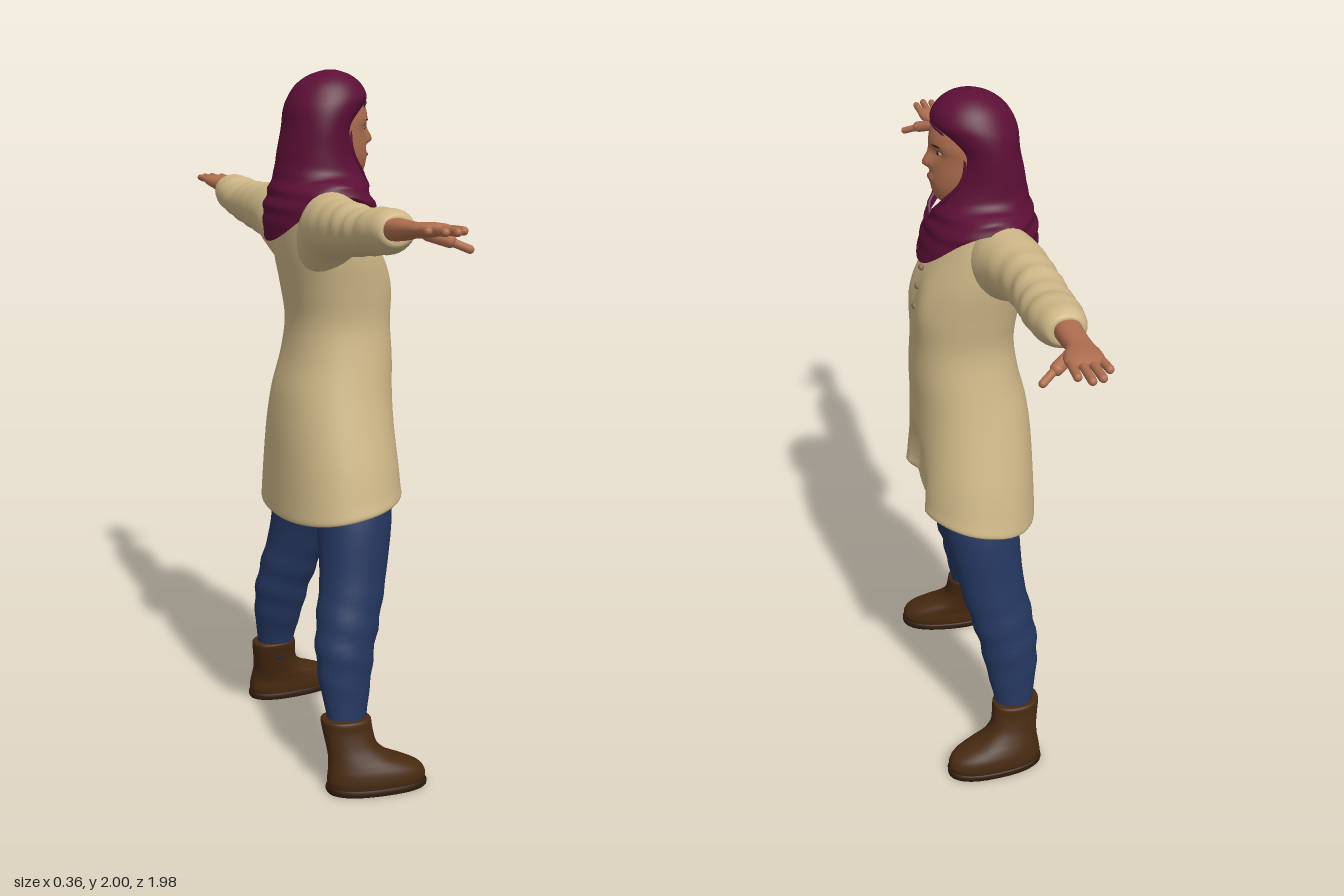
import * as THREE from 'three';
import { mergeVertices } from 'three/addons/utils/BufferGeometryUtils.js';

const mat = (name, color, side = THREE.FrontSide) => {
  const m = new THREE.MeshStandardMaterial({ color, side });
  m.name = name;
  return m;
};

// Smooth interpolation of one value through a list of rows
function mix(rows, i, f, k) {
  const g = (j) => rows[Math.min(rows.length - 1, Math.max(0, j))][k] || 0;
  const [a, b, c, d] = [g(i - 1), g(i), g(i + 1), g(i + 2)];
  return b + 0.5 * f * (c - a + f * (2 * a - 5 * b + 4 * c - d + f * (3 * (b - c) + d - a)));
}

// Surface through oval rings. Row: [height, min1, max1, min2, max2, drop at front and back]
function loft(rows, { n = 32, sub = 5, power = 2, axis = 'y', caps = true, gap = null, warp = null } = {}) {
  const pos = [], edge = [], index = [], v = new THREE.Vector3();
  const count = (rows.length - 1) * sub + 1;
  for (let r = 0; r < count; r++) {
    const i = Math.min(rows.length - 2, Math.floor(r / sub)), f = r / sub - i;
    const [h, a0, a1, b0, b1, drop] = [0, 1, 2, 3, 4, 5].map((k) => mix(rows, i, f, k));
    const open = gap ? gap(h, (b1 - b0) / 2) : 0;
    for (let j = 0; j <= n; j++) {
      const t = gap ? open + (j / n) * (2 * Math.PI - 2 * open) : ((j % n) / n) * 2 * Math.PI;
      const c = Math.cos(t), s = Math.sin(t);
      const p = (a0 + a1) / 2 + (a1 - a0) / 2 * Math.sign(c) * Math.abs(c) ** (2 / power);
      const q = (b0 + b1) / 2 + (b1 - b0) / 2 * Math.sign(s) * Math.abs(s) ** (2 / power);
      if (axis === 'y') v.set(p, h - drop * c * c, q);
      else v.set(p, q, h);
      if (warp) warp(v, t);
      pos.push(v.x, v.y, v.z);
      if (j === 0 && open > 0.02) edge.push(v.clone());
      if (r && j) {
        const d = r * (n + 1) + j, e = d - n - 1;
        index.push(e - 1, d - 1, e, e, d - 1, d);
      }
    }
  }
  if (caps) for (const r of [0, count - 1]) {
    const o = r * (n + 1), m = pos.length / 3;
    const mean = [0, 0, 0];
    for (let j = 0; j < n; j++) for (let k = 0; k < 3; k++) mean[k] += pos[(o + j) * 3 + k] / n;
    pos.push(...mean);
    for (let j = 0; j < n; j++) index.push(...(r ? [m, o + j + 1, o + j] : [m, o + j, o + j + 1]));
  }
  let geo = new THREE.BufferGeometry();
  geo.setAttribute('position', new THREE.Float32BufferAttribute(pos, 3));
  geo.setIndex(index);
  geo = mergeVertices(geo, 1e-5);
  if (volume(geo) < 0) flip(geo);
  geo.computeVertexNormals();
  geo.userData.edge = edge;
  return geo;
}

function volume(geo) {
  geo.computeBoundingBox();
  const o = geo.boundingBox.getCenter(new THREE.Vector3()), ix = geo.index.array;
  const P = (i) => new THREE.Vector3().fromBufferAttribute(geo.attributes.position, i).sub(o);
  let sum = 0;
  for (let i = 0; i < ix.length; i += 3) sum += P(ix[i]).dot(P(ix[i + 1]).cross(P(ix[i + 2])));
  return sum;
}

function flip(geo) {
  const ix = geo.index.array;
  for (let i = 0; i < ix.length; i += 3) [ix[i], ix[i + 1]] = [ix[i + 1], ix[i]];
  return geo;
}

function finger(from, to, r) {
  const a = new THREE.Vector3(...from), b = new THREE.Vector3(...to), d = b.clone().sub(a);
  const q = new THREE.Quaternion().setFromUnitVectors(new THREE.Vector3(0, 1, 0), d.clone().normalize());
  const mid = a.add(b).multiplyScalar(0.5);
  return new THREE.CapsuleGeometry(r, d.length() - 2 * r, 4, 10).applyQuaternion(q).translate(mid.x, mid.y, mid.z);
}

const blob = (x, y, z, rx, ry, rz, turn = 0) =>
  new THREE.SphereGeometry(1, 16, 10).scale(rx, ry, rz).rotateY(turn).translate(x, y, z);

export function createModel() {
  const group = new THREE.Group();
  const scarf = mat('plum scarf', 0x5c0f36, THREE.DoubleSide);
  const cloth = mat('beige cloth', 0xcfb888, THREE.DoubleSide);
  const denim = mat('blue denim', 0x24365f);
  const leather = mat('brown leather', 0x472a11);
  const sole = mat('dark sole', 0x2f1b0b);
  const skin = mat('skin', 0xb06f50);
  const dark = mat('dark brown', 0x2a1712);
  const white = mat('eye white', 0xc9b8aa);
  const lip = mat('lips', 0x8f4a3e);
  const metal = mat('button', 0x857452);

  const add = (name, geo, material) => {
    const m = new THREE.Mesh(geo, material);
    m.name = name;
    group.add(m);
  };
  const addPair = (name, geo, material) => {
    add(name + 'Left', geo, material);
    add(name + 'Right', flip(geo.clone().scale(1, 1, -1)), material);
  };
  const even = (rows) => rows.map(([y, x0, x1, w, d]) => [y, x0, x1, -w, w, d]);
  const bump = (a, b) => Math.exp(-a * a - b * b);

  // Tunic body with tilted hem, chest and the dent between the legs
  add('tunic', loft(even([
    [0.765, -0.168, 0.168, 0.272], [0.772, -0.18, 0.178, 0.288], [0.81, -0.18, 0.174, 0.28],
    [0.9, -0.176, 0.17, 0.26], [1, -0.17, 0.17, 0.233], [1.1, -0.157, 0.17, 0.207],
    [1.2, -0.132, 0.172, 0.186], [1.3, -0.12, 0.164, 0.172], [1.4, -0.133, 0.152, 0.182],
    [1.5, -0.15, 0.127, 0.195], [1.6, -0.152, 0.07, 0.195], [1.66, -0.135, 0.02, 0.16], [1.69, -0.1, 0, 0.08],
  ]), {
    n: 64, power: 2.3, caps: false,
    warp: (v) => {
      if (v.x > 0) {
        const e = 1 - (v.z / 0.14) ** 2 - ((v.y - 0.76) / 0.28) ** 2;
        v.x -= 0.035 * THREE.MathUtils.smoothstep(e, 0, 0.6);
        v.x += 0.016 * bump((Math.abs(v.z) - 0.08) / 0.06, (v.y - 1.41) / 0.09);
        v.x += 0.01 * bump((Math.abs(v.z) - 0.18) / 0.06, (v.y - 0.85) / 0.15);
      }
      v.y += 0.19 * v.x * THREE.MathUtils.clamp((1 - v.y) / 0.22, 0, 1);
    },
  }), cloth);
  [[0.136, 1.505], [0.148, 1.45], [0.157, 1.39]].forEach(([x, y], i) =>
    add('button' + (i + 1), blob(x, y, 0, 0.008, 0.01, 0.01), metal));

  // Sleeves with soft wrinkles
  addPair('sleeve', loft([
    [0.08, -0.13, 0.04, 1.4, 1.66], [0.16, -0.15, 0.035, 1.45, 1.675], [0.22, -0.157, 0.02, 1.492, 1.674],
    [0.3, -0.158, -0.002, 1.512, 1.668], [0.4, -0.155, -0.018, 1.527, 1.665], [0.5, -0.155, -0.015, 1.54, 1.658],
    [0.58, -0.152, -0.012, 1.55, 1.668], [0.65, -0.146, -0.02, 1.56, 1.672], [0.685, -0.132, -0.035, 1.578, 1.662],
    [0.69, -0.115, -0.055, 1.595, 1.65],
  ], {
    axis: 'z',
    warp: (v, t) => {
      const w = 0.004 * Math.sin(v.z * 75 + 2 * Math.sin(t)) * bump((v.z - 0.45) / 0.16, 0);
      v.x += w * Math.cos(t);
      v.y += w * Math.sin(t);
    },
  }), cloth);

  // Hands
  addPair('hand', loft([
    [0.66, -0.122, -0.052, 1.592, 1.652], [0.74, -0.118, -0.052, 1.602, 1.652], [0.79, -0.118, -0.052, 1.612, 1.652],
    [0.84, -0.122, -0.032, 1.618, 1.656], [0.88, -0.12, -0.025, 1.626, 1.657], [0.905, -0.113, -0.032, 1.632, 1.653],
  ], { axis: 'z', n: 20, power: 2.3 }), skin);
  [[-0.109, 0.945], [-0.085, 0.982], [-0.061, 0.99], [-0.037, 0.965]].forEach(([x, z], i) =>
    addPair('finger' + (i + 1), finger([x, 1.642, 0.88], [x * 1.12 + 0.008, 1.645, z], 0.0105), skin));
  addPair('thumbBase', finger([-0.07, 1.628, 0.8], [-0.005, 1.606, 0.855], 0.017), skin);
  addPair('thumb', finger([-0.022, 1.612, 0.838], [0.03, 1.588, 0.878], 0.0105), skin);

  // Jeans
  addPair('trouserLeg', loft([
    [0.15, -0.12, -0.015, 0.28, 0.37], [0.22, -0.125, -0.005, 0.268, 0.362], [0.3, -0.138, 0.012, 0.24, 0.355],
    [0.4, -0.142, 0.032, 0.207, 0.347], [0.5, -0.128, 0.06, 0.175, 0.33], [0.6, -0.11, 0.085, 0.143, 0.31],
    [0.77, -0.105, 0.118, 0.075, 0.282], [0.95, -0.12, 0.125, -0.01, 0.215],
  ], {
    warp: (v, t) => {
      const w = 0.003 * Math.sin(v.y * 70 + 2 * Math.cos(t)) * bump((v.y - 0.42) / 0.13, 0);
      v.x += w * Math.cos(t);
      v.z += w * Math.sin(t);
    },
  }), denim);

  // Boots
  const splay = (v) => { v.z += 0.08 * v.x; };
  addPair('boot', loft([
    [0.015, -0.135, 0.142, 0.308, 0.435], [0.035, -0.138, 0.148, 0.305, 0.438], [0.06, -0.135, 0.135, 0.305, 0.434],
    [0.08, -0.132, 0.095, 0.303, 0.425], [0.1, -0.13, 0.045, 0.3, 0.414], [0.13, -0.132, 0.012, 0.292, 0.4],
    [0.17, -0.138, 0.003, 0.281, 0.388], [0.2, -0.141, 0, 0.273, 0.384], [0.206, -0.132, -0.008, 0.281, 0.376],
  ], { power: 2.3, warp: splay }), leather);
  addPair('sole', loft([
    [0, -0.138, 0.146, 0.304, 0.438], [0.003, -0.141, 0.151, 0.302, 0.441],
    [0.016, -0.141, 0.151, 0.302, 0.441], [0.02, -0.135, 0.144, 0.307, 0.436],
  ], { power: 2.4, sub: 2, warp: splay }), sole);

  // Head with nose, brow and chin
  add('head', loft(even([
    [1.6, -0.08, 0.02, 0.055], [1.67, -0.08, 0.03, 0.055], [1.69, -0.08, 0.06, 0.05], [1.708, -0.09, 0.092, 0.062],
    [1.74, -0.1, 0.105, 0.078], [1.78, -0.105, 0.106, 0.09], [1.83, -0.105, 0.102, 0.095],
    [1.87, -0.105, 0.109, 0.095], [1.92, -0.1, 0.094, 0.085], [1.96, -0.06, 0.055, 0.055],
  ]), {
    n: 64, sub: 8,
    warp: (v) => {
      if (v.x < 0.03) return;
      const lower = v.y < 1.808 ? 0.014 : 0.034;
      v.x += 0.026 * bump(v.z / 0.014, (v.y - 1.808) / lower) + 0.006 * bump(v.z / 0.024, (v.y - 1.766) / 0.012);
      v.x -= 0.007 * bump((Math.abs(v.z) - 0.036) / 0.018, (v.y - 1.842) / 0.014);
    },
  }), skin);
  addPair('eye', blob(0.088, 1.842, 0.036, 0.005, 0.006, 0.014, -0.35), white);
  addPair('iris', blob(0.0915, 1.842, 0.035, 0.004, 0.006, 0.006, -0.35), dark);
  addPair('eyebrow', blob(0.098, 1.863, 0.037, 0.004, 0.003, 0.018, -0.4), dark);
  add('lips', blob(0.108, 1.766, 0, 0.006, 0.007, 0.022), lip);

  // Headscarf: hood with a face opening, flowing into a pointed shoulder drape
  const opening = (y, w) => {
    const e = 1 - ((y - 1.808) / 0.106) ** 2;
    return e > 0 ? Math.asin(Math.min(1, 0.087 * e ** 0.42 / w)) : 0;
  };
  const hood = loft(even([
    [1.66, -0.185, 0.145, 0.19, 0.13], [1.685, -0.188, 0.132, 0.188, 0.1], [1.7, -0.182, 0.116, 0.165, 0.06],
    [1.708, -0.168, 0.102, 0.142, 0.02], [1.73, -0.157, 0.084, 0.129, 0], [1.78, -0.148, 0.064, 0.126, 0],
    [1.84, -0.135, 0.056, 0.127, 0], [1.89, -0.13, 0.084, 0.124, 0], [1.925, -0.118, 0.104, 0.114, 0],
    [1.96, -0.094, 0.09, 0.092, 0], [1.985, -0.058, 0.06, 0.06, 0], [1.998, -0.018, 0.024, 0.022, 0],
    [2, -0.001, 0.004, 0.002, 0],
  ]), {
    n: 64, sub: 7, caps: false, gap: opening,
    warp: (v, t) => {
      const w = 0.004 * Math.sin(v.y * 130 + 3 * Math.cos(t)) * bump((v.y - 1.64) / 0.06, 0);
      v.x += w * Math.cos(t);
      v.z += w * Math.sin(t);
    },
  });
  add('headscarf', hood, scarf);
  const edge = hood.userData.edge;
  const rim = [...edge, ...edge.map((p) => new THREE.Vector3(p.x, p.y, -p.z)).reverse()];
  add('headscarfRim', new THREE.TubeGeometry(new THREE.CatmullRomCurve3(rim, true), 120, 0.006, 8, true), scarf);

  return group;
}
